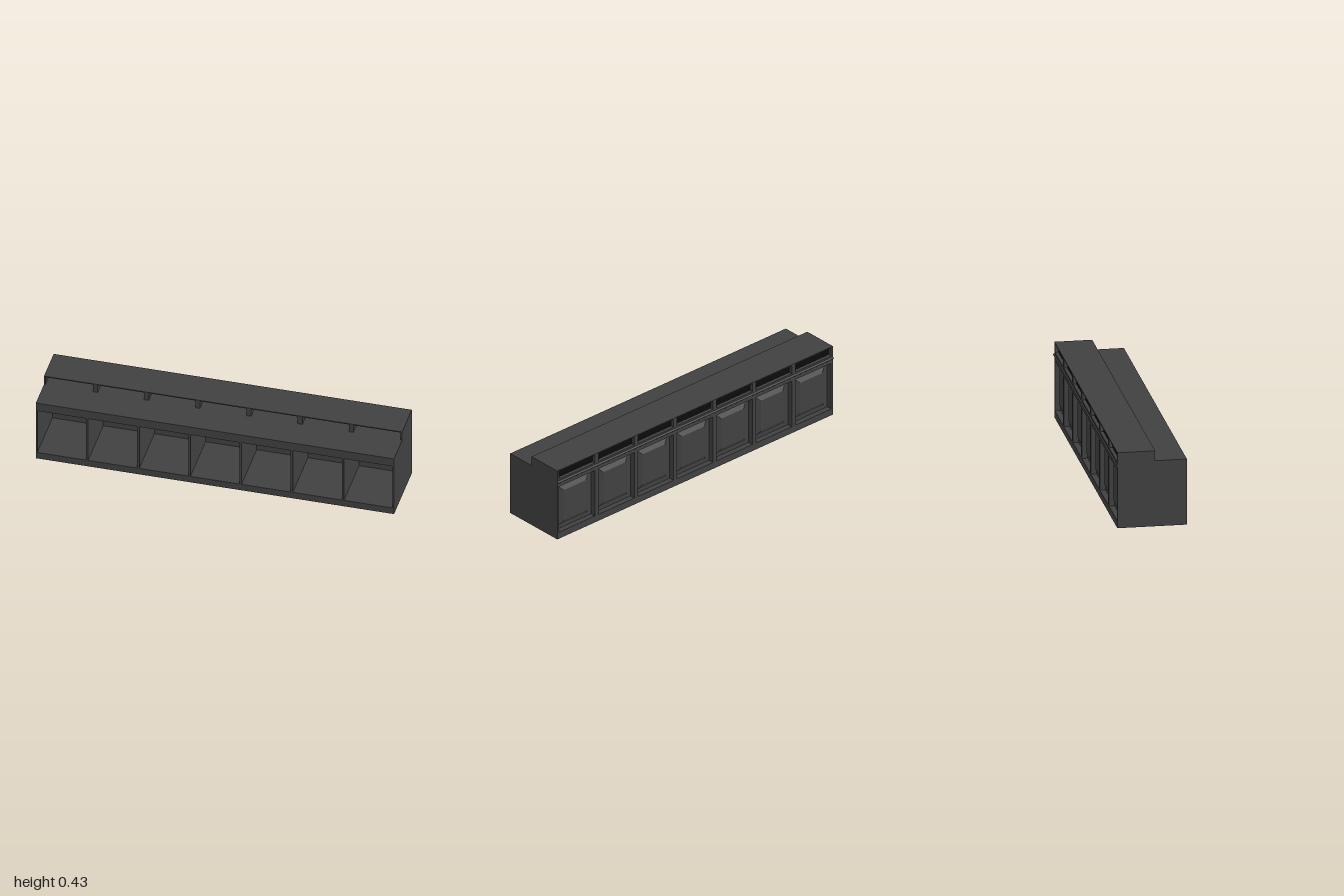
import * as THREE from 'three';

const BAYS = 7, PITCH = 2 / BAYS;
const FRONT = 0.194, BACK = -0.187, STEP = 0.02;
const BASE_TOP = 0.04, LEDGE_BOTTOM = 0.32, LEDGE_TOP = 0.372, TOP = 0.428;
const END = 0.008, STILE = 0.026, LIP = 0.006;

const body = new THREE.MeshStandardMaterial({ color: 0x404040 });
const dark = new THREE.MeshStandardMaterial({ color: 0x0c0c0c });

export function createModel() {
  const group = new THREE.Group();
  const add = (name, geometry, x = 0, y = 0, z = 0, material = body) => {
    const mesh = new THREE.Mesh(geometry, material);
    mesh.name = name;
    mesh.position.set(x, y, z);
    group.add(mesh);
    return mesh;
  };
  // box given by its limits
  const box = (name, x0, x1, y0, y1, z0, z1, material) =>
    add(name, new THREE.BoxGeometry(x1 - x0, y1 - y0, z1 - z0),
      (x0 + x1) / 2, (y0 + y1) / 2, (z0 + z1) / 2, material);
  const rect = (x0, x1, y0, y1, Type = THREE.Shape) => new Type([
    new THREE.Vector2(x0, y0), new THREE.Vector2(x1, y0),
    new THREE.Vector2(x1, y1), new THREE.Vector2(x0, y1)]);

  const inner = 1 - END;
  const boardFront = -0.13, boardBack = -0.155;

  // stepped end walls
  const profile = new THREE.Shape([
    [-FRONT, 0], [-BACK, 0], [-BACK, TOP], [-STEP, TOP], [-STEP, LEDGE_TOP], [-FRONT, LEDGE_TOP],
  ].map(([a, b]) => new THREE.Vector2(a, b)));
  const endGeometry = new THREE.ExtrudeGeometry(profile, { depth: END, bevelEnabled: false });
  endGeometry.rotateY(Math.PI / 2);
  add('leftEndWall', endGeometry, inner);
  add('rightEndWall', endGeometry, -1);

  // plinth, work ledge, raised top and the wall behind the cubbies
  box('base', -inner, inner, 0, BASE_TOP, boardBack, FRONT);
  box('ledge', -inner, inner, LEDGE_BOTTOM, LEDGE_TOP, boardBack, FRONT);
  box('raisedTop', -inner, inner, TOP - LIP, TOP, boardBack, STEP);
  box('cubbyBack', -inner, inner, BASE_TOP, LEDGE_BOTTOM, boardBack, boardFront);

  // dividers of the open cubbies and of the slots below the raised top
  for (let i = 1; i < BAYS; i++) {
    const x = -1 + i * PITCH;
    box('cubbyDivider', x - 0.006, x + 0.006, BASE_TOP, LEDGE_BOTTOM, boardFront, FRONT);
    box('slotDivider', x - STILE / 2, x + STILE / 2, LEDGE_TOP, TOP - LIP, boardBack, STEP - 0.003);
  }

  // back frame with a door opening and a slot opening per bay
  const frame = rect(-inner, inner, 0, TOP);
  const half = (PITCH - STILE) / 2;
  const raised = new THREE.ExtrudeGeometry(rect(-0.08, 0.08, -0.095, 0.095), {
    depth: 0.002, bevelThickness: 0.014, bevelSize: 0.025, bevelSegments: 1,
  });
  raised.rotateY(Math.PI);
  for (let i = 0; i < BAYS; i++) {
    const x = -1 + (i + 0.5) * PITCH;
    frame.holes.push(rect(x - half, x + half, BASE_TOP, 0.325, THREE.Path));
    frame.holes.push(rect(x - half, x + half, LEDGE_TOP, TOP - LIP, THREE.Path));
    add('raisedPanel', raised, x, (BASE_TOP + 0.325) / 2, boardBack);
    // dark infill closing each upper slot
    const reach = half + (i === 0 || i === BAYS - 1 ? 0.004 : 0);
    box('slotInfill', x - reach, x + reach, LEDGE_TOP, TOP - LIP, boardBack - 0.012, boardBack + 0.004, dark);
  }
  add('backFrame', new THREE.ExtrudeGeometry(frame, { depth: boardBack - BACK, bevelEnabled: false }), 0, 0, BACK);

  // round moulding along the back
  add('backMoulding', new THREE.CylinderGeometry(0.007, 0.007, 2, 12), 0, 0.355, BACK)
    .rotation.z = Math.PI / 2;

  return group;
}
